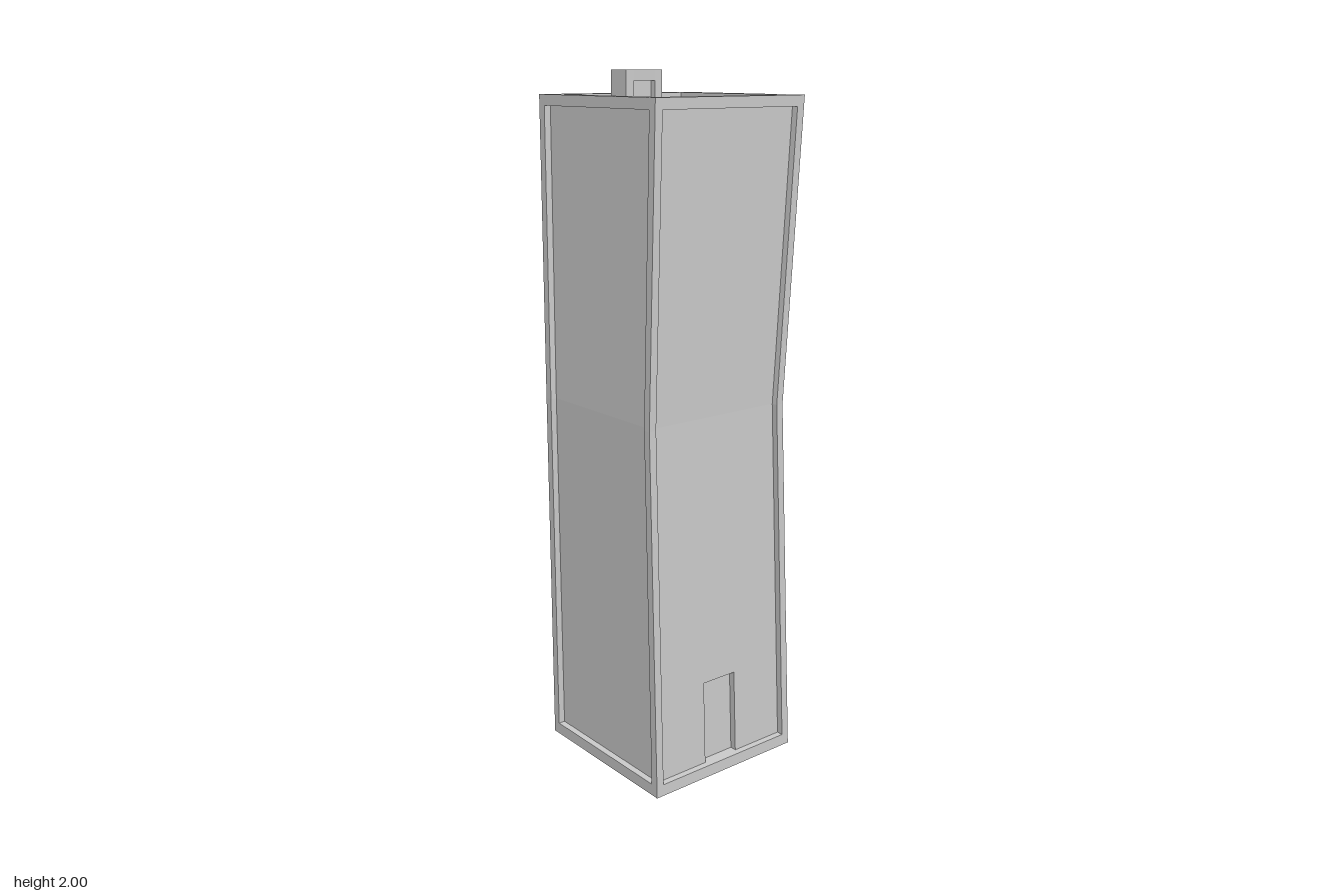
import * as THREE from 'three';
import { mergeGeometries } from 'three/addons/utils/BufferGeometryUtils.js';

const WAIST = 1.08, TOP = 1.935, ROOF = 1.87;
const OUT = 0.257;   // half width of the frame
const WALL = 0.237;  // half width of the recessed walls
const POST = 0.233;  // inner side of the corner posts
const BASE = 0.035, HEAD = 1.905;

// The tower narrows and leans aside at its waist
function warp(geo) {
  const p = geo.attributes.position;
  for (let i = 0; i < p.count; i++) {
    const y = p.getY(i);
    const t = y < WAIST ? y / WAIST : Math.max(0, (TOP - y) / (TOP - WAIST));
    const s = 1 - 0.06 * t;
    p.setXYZ(i, p.getX(i) * s - 0.027 * t, y, p.getZ(i) * s + 0.001 * t);
  }
  geo.computeVertexNormals();
  return geo;
}

// Box between two corners, with an extra ring at the waist if it spans it
function block(x0, x1, y0, y1, z0, z1) {
  const spans = y0 < WAIST && y1 > WAIST;
  const geo = new THREE.BoxGeometry(x1 - x0, y1 - y0, z1 - z0, 1, spans ? 2 : 1, 1);
  geo.translate((x0 + x1) / 2, (y0 + y1) / 2, (z0 + z1) / 2);
  const p = geo.attributes.position;
  for (let i = 0; i < p.count; i++) {
    const y = p.getY(i);
    if (y > y0 + 1e-4 && y < y1 - 1e-4) p.setY(i, WAIST);
  }
  return geo;
}

// Square ring of four bars
function ring(inner, outer, y0, y1) {
  return [
    block(-outer, outer, y0, y1, inner, outer),
    block(-outer, outer, y0, y1, -outer, -inner),
    block(inner, outer, y0, y1, -inner, inner),
    block(-outer, -inner, y0, y1, -inner, inner),
  ];
}

export function createModel() {
  const group = new THREE.Group();
  const tower = new THREE.Group();
  tower.name = 'tower';
  tower.rotation.y = 0.033;
  tower.position.set(0.005, 0, -0.0015);
  group.add(tower);

  const material = new THREE.MeshStandardMaterial({ color: 0xcccccc, flatShading: true });
  const add = (name, geos) => {
    const mesh = new THREE.Mesh(warp(mergeGeometries(geos)), material);
    mesh.name = name;
    tower.add(mesh);
  };

  // Frame: base slab, corner posts, parapet
  add('base', [block(-OUT, OUT, 0, BASE, -OUT, OUT)]);
  const posts = [];
  for (const sx of [-1, 1]) for (const sz of [-1, 1]) {
    const x = sx > 0 ? POST : -OUT, z = sz > 0 ? POST : -OUT;
    posts.push(block(x, x + OUT - POST, BASE, HEAD, z, z + OUT - POST));
  }
  add('cornerPosts', posts);
  add('parapet', [...ring(0.213, OUT, HEAD, TOP), ...ring(0.213, WALL, ROOF, HEAD)]);

  // Recessed walls and roof; the front wall leaves a door opening
  const skin = WALL - 0.02, doorHalf = 0.059, doorTop = 0.29;
  add('walls', [block(-WALL, WALL, BASE, ROOF, -WALL, skin)]);
  add('frontWall', [
    block(-WALL, -doorHalf, BASE, ROOF, skin, WALL),
    block(doorHalf, WALL, BASE, ROOF, skin, WALL),
    block(-doorHalf, doorHalf, doorTop, ROOF, skin, WALL),
  ]);

  // Stair housing on the roof with a recessed doorway
  const w = 0.063, d = 0.038, z0 = -0.187, z1 = -0.116, zr = z1 - 0.018;
  add('roofHousing', [
    block(-w, w, ROOF, 2, z0, zr),
    block(-w, -d, ROOF, 2, zr, z1),
    block(d, w, ROOF, 2, zr, z1),
    block(-d, d, 1.97, 2, zr, z1),
  ]);

  return group;
}
